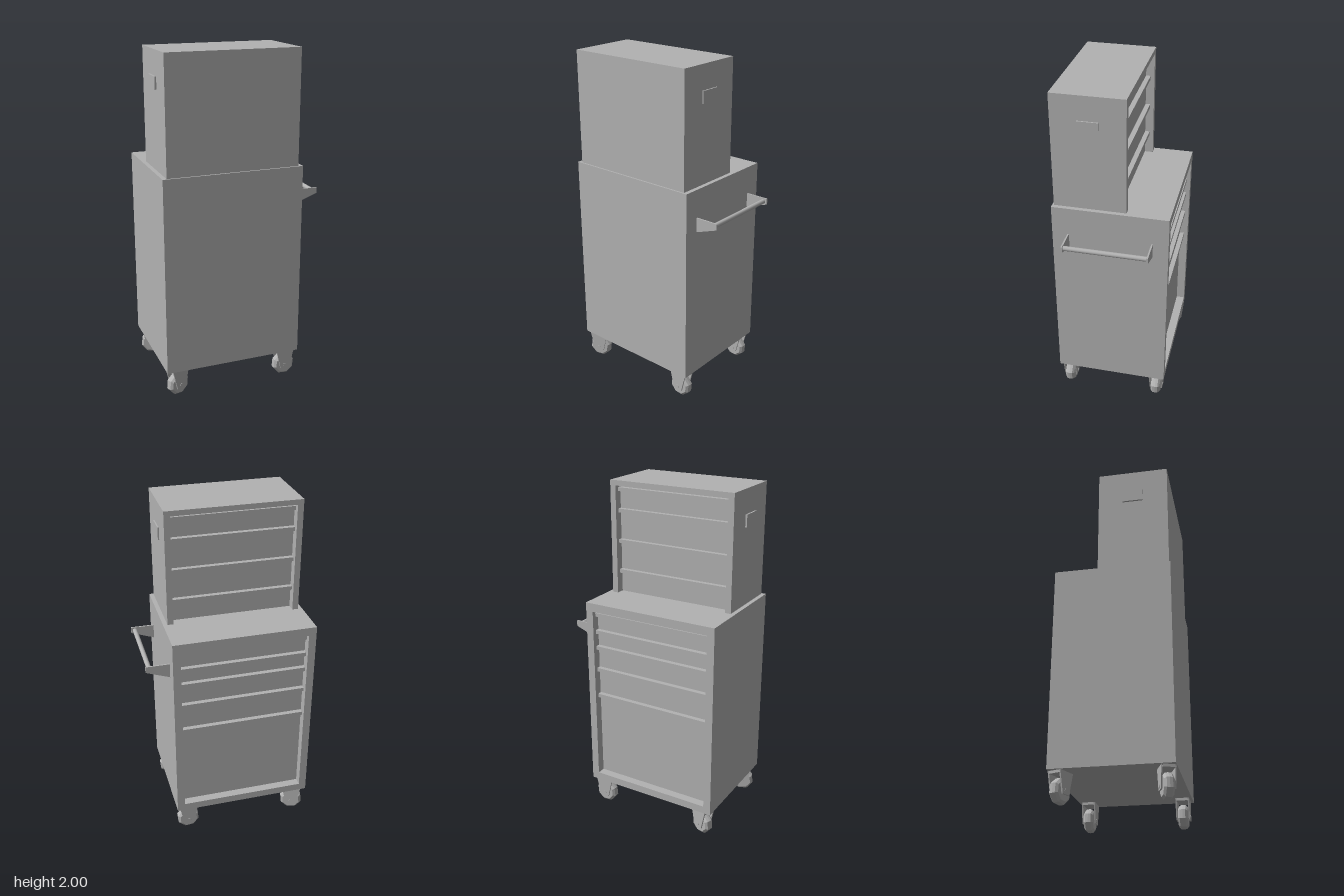
import * as THREE from 'three';

const steel = new THREE.MeshStandardMaterial({ color: 0xb2b2b2 });
steel.name = 'grey steel';

function add(parent, geometry, name, x = 0, y = 0, z = 0) {
  const mesh = new THREE.Mesh(geometry, steel);
  mesh.name = name;
  mesh.position.set(x, y, z);
  parent.add(mesh);
  return mesh;
}

// Box given by its minimum and maximum corners
function block(parent, name, x0, x1, y0, y1, z0, z1) {
  const g = new THREE.BoxGeometry(x1 - x0, y1 - y0, z1 - z0);
  return add(parent, g, name, (x0 + x1) / 2, (y0 + y1) / 2, (z0 + z1) / 2);
}

// Flat plate: outline in x/y, centred thickness along z
function plate(points, thickness) {
  const shape = new THREE.Shape(points.map(([x, y]) => new THREE.Vector2(x, y)));
  const g = new THREE.ExtrudeGeometry(shape, { depth: thickness, bevelEnabled: false });
  return g.translate(0, 0, -thickness / 2);
}

// Cabinet with a framed recess at z0 holding a stack of drawers
function cabinet({ name, x0, x1, y0, y1, z0, z1, side, top, bottom, tops }) {
  const group = new THREE.Group();
  group.name = name;
  const recess = 0.05, skin = 0.01;
  const zBody = z0 + recess + skin;
  block(group, 'cabinetBody', x0, x1, y0, y1, zBody, z1);

  // Frame around the drawers
  block(group, 'framePost', x0, x0 + side, y0, y1, z0, zBody);
  block(group, 'framePost', x1 - side, x1, y0, y1, z0, zBody);
  block(group, 'frameTop', x0 + side, x1 - side, y1 - top, y1, z0, zBody);
  if (bottom) block(group, 'frameBottom', x0 + side, x1 - side, y0, y0 + bottom, z0, zBody);

  // Drawer fronts, each with a full-width pull along its top
  tops.forEach((t, i) => {
    const low = i + 1 < tops.length ? tops[i + 1] : y0 + bottom;
    const high = i === 0 ? y1 - top : t;
    block(group, 'drawerFront', x0 + side, x1 - side, low, high, z0 + recess, zBody);
    block(group, 'drawerPull', x0 + side + 0.002, x1 - side - 0.002, t - 0.022, t,
      z0 + recess - 0.028, z0 + recess);
  });
  return group;
}

// Swivel caster: faceted wheel in a tapered fork
function caster(x, z, swivel) {
  const group = new THREE.Group();
  group.name = 'caster';
  const profile = [[0, -0.028], [0.055, -0.028], [0.068, -0.016], [0.07, 0], [0.068, 0.016], [0.055, 0.028], [0, 0.028]]
    .map(([r, h]) => new THREE.Vector2(r, h));
  const wheelGeo = new THREE.LatheGeometry(profile, 8).toNonIndexed();
  wheelGeo.computeVertexNormals();
  wheelGeo.rotateX(Math.PI / 2).rotateZ(0.3);
  add(group, wheelGeo, 'wheel', 0, 0.07, 0);

  const forkGeo = plate([[-0.057, 0.17], [-0.028, 0.05], [0.028, 0.05], [0.057, 0.17]], 0.008);
  for (const s of [-1, 1]) add(group, forkGeo, 'forkPlate', 0, 0, s * 0.036);
  block(group, 'forkTop', -0.055, 0.055, 0.155, 0.17, -0.036, 0.036);
  const axle = new THREE.CylinderGeometry(0.012, 0.012, 0.084, 8).rotateX(Math.PI / 2);
  add(group, axle, 'axle', 0, 0.07, 0);

  group.position.set(x, 0, z);
  group.rotation.y = swivel;
  return group;
}

export function createModel() {
  const model = new THREE.Group();
  model.name = 'rollingToolChest';

  model.add(cabinet({
    name: 'lowerCabinet', x0: -0.485, x1: 0.345, y0: 0.17, y1: 1.335, z0: -0.333, z1: 0.333,
    side: 0.045, top: 0.05, bottom: 0.045, tops: [1.272, 1.165, 1.065, 0.925, 0.755],
  }));

  const upper = cabinet({
    name: 'upperCabinet', x0: -0.46, x1: 0.32, y0: 1.335, y1: 2, z0: -0.09, z1: 0.323,
    side: 0.035, top: 0.03, bottom: 0, tops: [1.957, 1.835, 1.655, 1.475],
  });
  model.add(upper);

  // Carrying plates on both sides of the upper cabinet
  block(upper, 'carryPlate', -0.47, -0.46, 1.79, 1.86, 0.055, 0.175);
  block(upper, 'carryPlate', 0.32, 0.328, 1.79, 1.86, 0.055, 0.175);

  // Push handle on the left side
  const handle = new THREE.Group();
  handle.name = 'pushHandle';
  const bracketGeo = plate([[0.345, 1.085], [0.483, 1.135], [0.483, 1.17], [0.345, 1.17]], 0.009);
  for (const s of [-1, 1]) add(handle, bracketGeo, 'handleBracket', 0, 0, s * 0.24);
  const barGeo = new THREE.CylinderGeometry(0.014, 0.014, 0.472, 16).rotateX(Math.PI / 2);
  add(handle, barGeo, 'handleBar', 0.46, 1.15, 0);
  model.add(handle);

  // Casters, swivelled on the right side
  for (const s of [-1, 1]) {
    model.add(caster(0.272, s * 0.278, 0));
    model.add(caster(-0.41, s * 0.278, s * 0.35));
  }
  return model;
}
